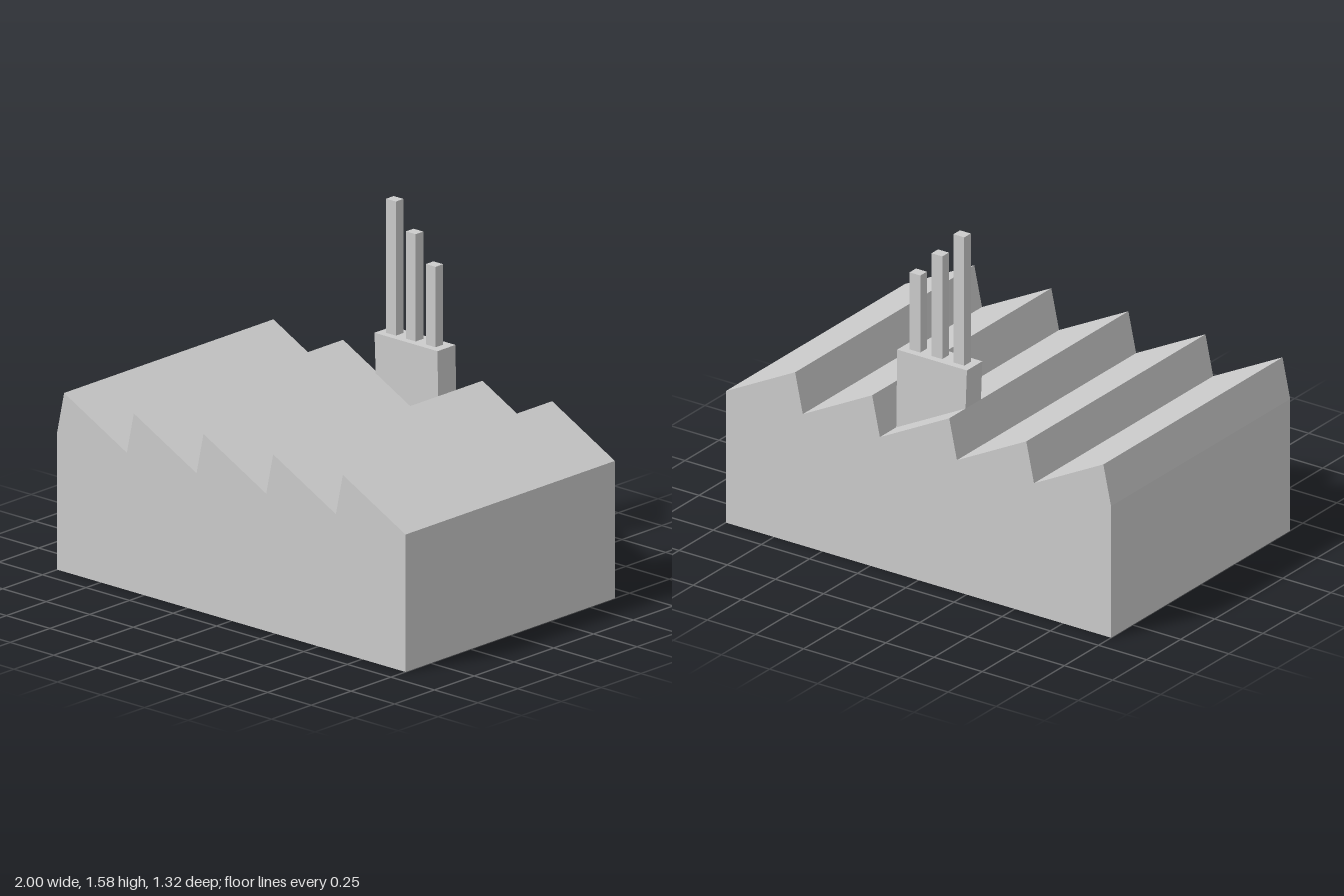
import * as THREE from 'three';

const material = new THREE.MeshStandardMaterial({ color: 0xcccccc, flatShading: true });

// Extrudes an x/y outline along z, centred on the given z
function extrudeOutline(name, points, depth, z) {
  const shape = new THREE.Shape(points.map(([x, y]) => new THREE.Vector2(x, y)));
  const geometry = new THREE.ExtrudeGeometry(shape, { depth, bevelEnabled: false });
  geometry.translate(0, 0, z - depth / 2);
  const mesh = new THREE.Mesh(geometry, material);
  mesh.name = name;
  return mesh;
}

export function createModel() {
  const factory = new THREE.Group();
  factory.name = 'factory';

  const valley = 0.615, ridge = 0.8;
  const bays = 5, bayWidth = 2 / bays, ridgeOffset = 0.04;

  // Hall with sawtooth roof, outlined anticlockwise
  const outline = [[-1, 0], [1, 0], [1, valley]];
  for (let i = bays - 1; i >= 0; i--) {
    const x = -1 + i * bayWidth;
    outline.push([x + ridgeOffset, ridge], [x, valley]);
  }
  factory.add(extrudeOutline('hall', outline, 1.315, 0));

  // Chimney base, its underside following the slope of the middle bay
  const chimneyZ = -0.481, baseTop = 0.98;
  factory.add(extrudeOutline('chimneyBase', [
    [-0.16, ridge], [0.2, valley], [0.195, baseTop], [-0.167, baseTop],
  ], 0.113, chimneyZ));

  // Three square chimneys stepping down
  const chimneys = new THREE.Group();
  chimneys.name = 'chimneys';
  [1.58, 1.46, 1.34].forEach((top, i) => {
    const height = top - baseTop;
    const chimney = new THREE.Mesh(new THREE.BoxGeometry(0.056, height, 0.048), material);
    chimney.name = `chimney${i + 1}`;
    chimney.position.set(-0.102 + i * 0.114, baseTop + height / 2, chimneyZ);
    chimneys.add(chimney);
  });
  factory.add(chimneys);

  return factory;
}
